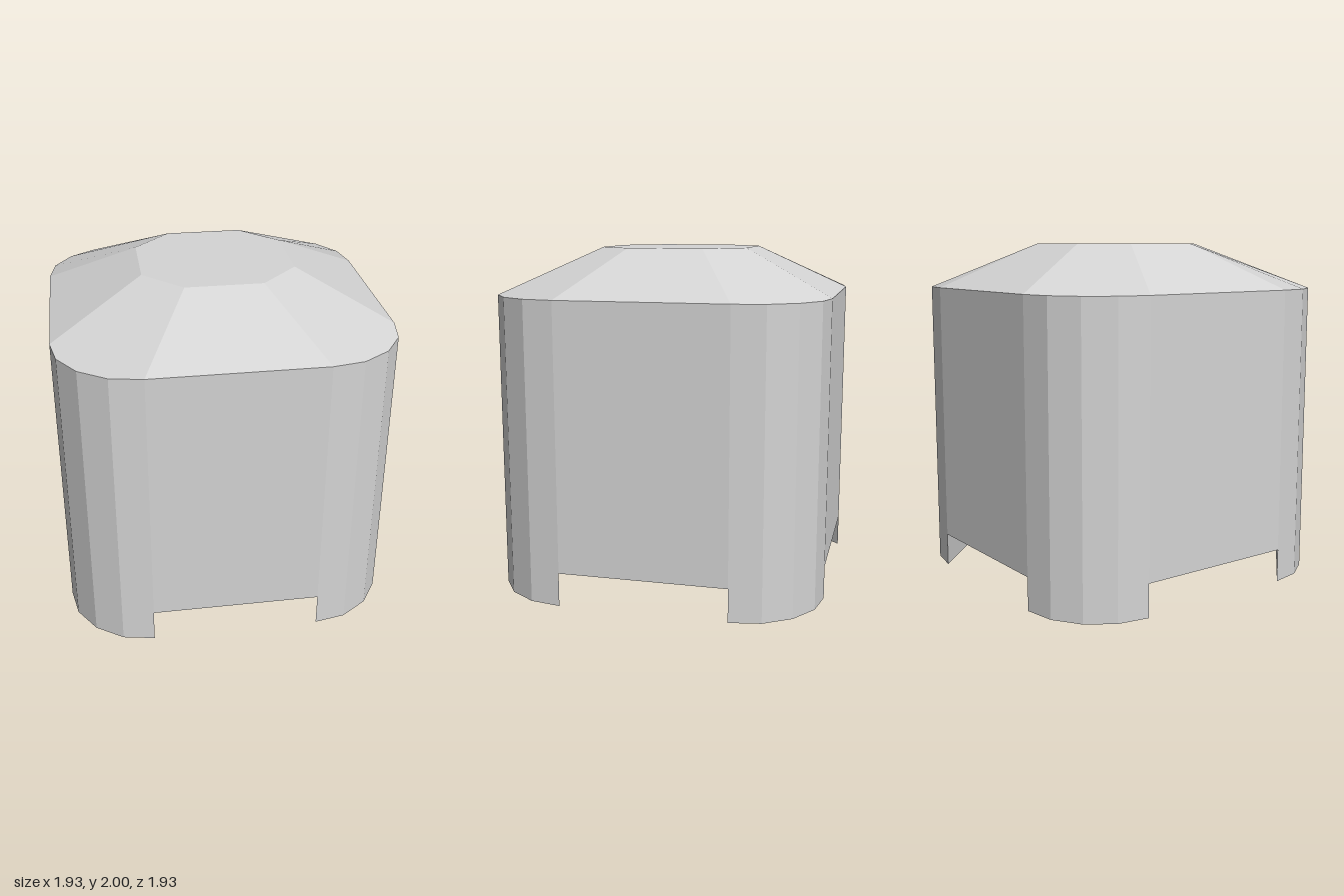
import * as THREE from 'three';

const BODY_BOTTOM = 0.195, EAVES = 1.737, TOP = 2;

// One rounded corner of the plan, and one clipped corner of the flat roof top
const ARC = [[0.963, 0.488], [0.93, 0.67], [0.826, 0.826], [0.67, 0.93], [0.488, 0.963]];
const CLIP = [[0.436, 0.22], [0.22, 0.436]];

// Quarter turn k of a list of plan points
function turn(points, k) {
  return points.map(([x, z]) => {
    for (let i = 0; i < k; i++) [x, z] = [-z, x];
    return [x, z];
  });
}

// Upright prism over a plan outline
function prism(points, y0, y1) {
  const shape = new THREE.Shape(points.map(([x, z]) => new THREE.Vector2(x, -z)));
  const geometry = new THREE.ExtrudeGeometry(shape, { depth: y1 - y0, bevelEnabled: false });
  return geometry.rotateX(-Math.PI / 2).translate(0, y0, 0);
}

// Roof: flat octagonal top, four sloping sides and four corner panels,
// each panel shaded with a single normal
function roofGeometry() {
  const positions = [], normals = [];
  const at = ([x, z], y) => new THREE.Vector3(x, y, z);

  function panel(triangles) {
    const sum = new THREE.Vector3();
    for (const [a, b, c] of triangles) {
      const n = b.clone().sub(a).cross(c.clone().sub(a));
      const up = n.y >= 0;
      sum.add(up ? n : n.negate());
      for (const p of up ? [a, b, c] : [a, c, b]) positions.push(p.x, p.y, p.z);
    }
    sum.normalize();
    for (let i = 0; i < triangles.length * 3; i++) normals.push(sum.x, sum.y, sum.z);
  }

  const centre = new THREE.Vector3(0, TOP, 0);
  for (let k = 0; k < 4; k++) {
    const a = turn(ARC, k).map((p) => at(p, EAVES));
    const [t1, t2] = turn(CLIP, k).map((p) => at(p, TOP));
    const nextA = at(turn(ARC, k + 1)[0], EAVES);
    const nextT = at(turn(CLIP, k + 1)[0], TOP);
    // corner panel
    panel([[t1, a[0], a[1]], [t1, a[1], a[2]], [t1, a[2], t2], [t2, a[2], a[3]], [t2, a[3], a[4]]]);
    // sloping side
    panel([[t2, a[4], nextA], [t2, nextA, nextT]]);
    // slice of the flat top
    panel([[centre, t1, t2], [centre, t2, nextT]]);
  }

  const geometry = new THREE.BufferGeometry();
  geometry.setAttribute('position', new THREE.Float32BufferAttribute(positions, 3));
  geometry.setAttribute('normal', new THREE.Float32BufferAttribute(normals, 3));
  return geometry;
}

export function createModel() {
  const grey = new THREE.MeshStandardMaterial({ color: 0xd4d4d4 });
  grey.name = 'light grey';

  const model = new THREE.Group();
  model.name = 'roundedBlockOnFeet';
  const add = (name, geometry) => {
    const mesh = new THREE.Mesh(geometry, grey);
    mesh.name = name;
    model.add(mesh);
  };

  // Body with rounded corners
  add('body', prism([0, 1, 2, 3].flatMap((k) => turn(ARC, k)), BODY_BOTTOM, EAVES));

  add('roof', roofGeometry());

  // Feet under the four corners, cut straight on the inside
  const names = ['frontLeftFoot', 'frontRightFoot', 'backRightFoot', 'backLeftFoot'];
  names.forEach((name, k) => add(name, prism(turn(ARC, k), 0, BODY_BOTTOM)));

  return model;
}
